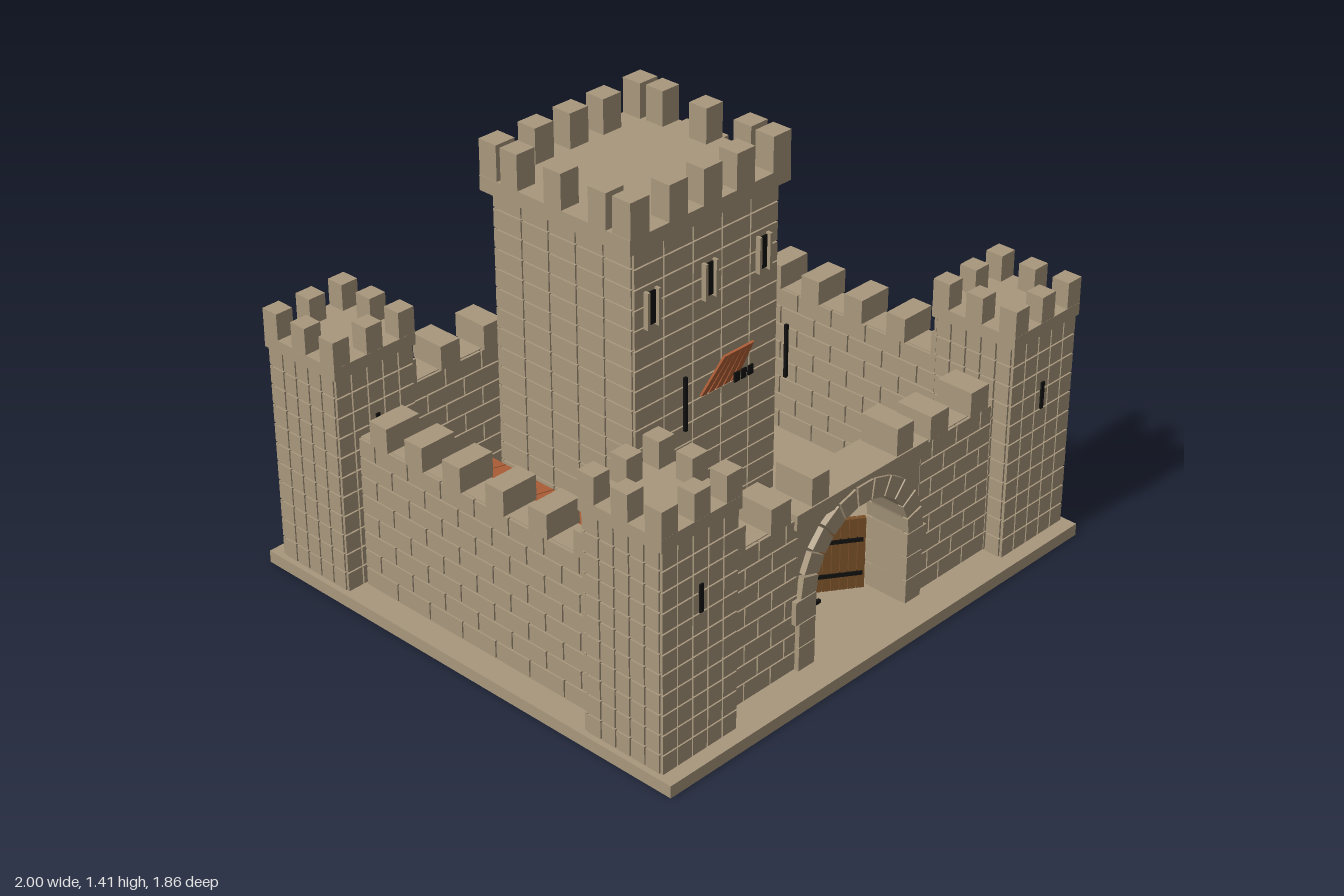
import * as THREE from 'three';
import { mergeGeometries } from 'three/addons/utils/BufferGeometryUtils.js';

const material = (name, color) => {
  const m = new THREE.MeshStandardMaterial({ color });
  m.name = name;
  return m;
};

export function createModel() {
  const stone = material('stone', 0xa8977c);
  const tile = material('roofTile', 0xb5623a);
  const wood = material('wood', 0x7a5028);
  const iron = material('iron', 0x121110);
  const castle = new THREE.Group();
  castle.name = 'castle';

  // Box given by its limits on each axis
  const box = (x0, x1, y0, y1, z0, z1) =>
    new THREE.BoxGeometry(x1 - x0, y1 - y0, z1 - z0).translate((x0 + x1) / 2, (y0 + y1) / 2, (z0 + z1) / 2);
  const cube = (x, y, z, w, h, d) => new THREE.BoxGeometry(w, h, d).translate(x, y, z);
  const add = (name, geos, mat, parent = castle) => {
    const mesh = new THREE.Mesh(mergeGeometries(geos), mat);
    mesh.name = name;
    parent.add(mesh);
    return mesh;
  };

  // Core block faced with stones on the chosen sides; bond shifts every other course
  function masonry(x0, x1, y0, y1, z0, z1, rows, nx, nz, bond, faceX = true, faceZ = true) {
    const t = 0.01, g = 0.003;
    const geos = [box(x0 + t, x1 - t, y0, y1, z0 + t, z1 - t)];
    const h = (y1 - y0) / rows;
    const course = (a, b, n, r, place) => {
      const w = (b - a) / n, shift = bond && r % 2 ? w / 2 : 0;
      for (let i = shift ? -1 : 0; i < n; i++) {
        const s = Math.max(a, a + i * w + shift), e = Math.min(b, a + (i + 1) * w + shift);
        place(s + g, e - g, y0 + r * h + g, y0 + (r + 1) * h - g);
      }
    };
    for (let r = 0; r < rows; r++) {
      if (faceZ) course(x0, x1, nx, r, (s, e, b, c) =>
        geos.push(box(s, e, b, c, z1 - t, z1), box(s, e, b, c, z0, z0 + t)));
      if (faceX) course(z0 + t, z1 - t, nz, r, (s, e, b, c) =>
        geos.push(box(x1 - t, x1, b, c, s, e), box(x0, x0 + t, b, c, s, e)));
    }
    return geos;
  }

  // Base slab
  add('base', [box(-1, 1, 0, 0.045, -0.93, 0.93)], stone);

  // Courtyard paving
  const paving = [];
  for (let i = 0; i < 9; i++)
    for (let j = 0; j < 4; j++)
      paving.push(cube(-0.53 + i * 0.127, 0.047, 0.105 + j * 0.13, 0.121, 0.008, 0.124));
  add('paving', paving, stone);

  // Corner towers
  for (const sx of [-1, 1]) for (const sz of [-1, 1]) {
    const tower = new THREE.Group();
    tower.name = (sz > 0 ? 'front' : 'back') + (sx > 0 ? 'Left' : 'Right') + 'Tower';
    castle.add(tower);
    const cx = sx * 0.817, cz = sz * 0.713;
    add('towerWalls', masonry(cx - 0.165, cx + 0.165, 0.045, 0.85, cz - 0.165, cz + 0.165, 11, 5, 5, false), stone, tower);
    const top = [cube(cx, 0.868, cz, 0.342, 0.045, 0.342)];
    for (let i = -1; i <= 1; i++)
      for (let j = -1; j <= 1; j++)
        if (i || j) top.push(cube(cx + i * 0.137, 0.935, cz + j * 0.137, 0.067, 0.1, 0.067));
    add('towerBattlements', top, stone, tower);
    add('arrowSlit', [cube(cx, 0.61, cz + 0.167, 0.015, 0.1, 0.008)], iron, tower);
  }

  // Side and back curtain walls
  for (const s of [-1, 1]) {
    const x = s * 0.843;
    add('sideWall', masonry(x - 0.065, x + 0.065, 0.045, 0.61, -0.55, 0.55, 8, 1, 7, true, true, false), stone);
    add('sideMerlons', [0.485, 0.29, 0.1, -0.095, -0.27, -0.435].map(z => cube(x, 0.655, z, 0.14, 0.09, 0.08)), stone);
  }
  add('backWall', masonry(-0.66, 0.66, 0.045, 0.61, -0.8, -0.67, 8, 8, 1, true, false), stone);
  const backMerlons = [];
  for (let i = -3; i <= 3; i++) backMerlons.push(cube(i * 0.195, 0.655, -0.735, 0.085, 0.09, 0.14));
  add('backMerlons', backMerlons, stone);

  // Front wall on both sides of the gate
  for (const s of [-1, 1]) {
    const a = s < 0 ? -0.66 : 0.29;
    add('frontWall', masonry(a, a + 0.37, 0.045, 0.61, 0.665, 0.8, 8, 3, 1, true, false), stone);
    add('frontMerlons', [0.585, 0.38].map(x => cube(s * x, 0.655, 0.733, 0.09, 0.09, 0.14)), stone);
  }

  // Gatehouse wall with arched opening
  const R = 0.225, spring = 0.315;
  const gate = new THREE.Shape();
  gate.moveTo(-0.3, 0.045);
  gate.lineTo(-R, 0.045);
  gate.lineTo(-R, spring);
  gate.absarc(0, spring, R, Math.PI, 0, true);
  gate.lineTo(R, 0.045);
  gate.lineTo(0.3, 0.045);
  gate.lineTo(0.3, 0.61);
  gate.lineTo(-0.3, 0.61);
  const gateGeo = new THREE.ExtrudeGeometry(gate, { depth: 0.13, bevelEnabled: false, curveSegments: 11 });
  add('gateWall', [gateGeo.translate(0, 0, 0.668)], stone);
  add('gateParapet', [
    box(-0.315, 0.315, 0.575, 0.63, 0.65, 0.812),
    ...[-1, 1].map(s => cube(s * 0.203, 0.68, 0.732, 0.08, 0.1, 0.15)),
  ], stone);

  // Arch stones
  const arch = [];
  const n = 11, step = Math.PI / n;
  for (let i = 0; i < n; i++) {
    const a = i * step + 0.015, b = (i + 1) * step - 0.015;
    const outer = 0.297;
    const v = new THREE.Shape([[R, a], [outer, a], [outer, b], [R, b]].map(
      ([r, t]) => new THREE.Vector2(r * Math.cos(t), r * Math.sin(t))));
    arch.push(new THREE.ExtrudeGeometry(v, { depth: 0.175, bevelEnabled: false }).translate(0, spring, 0.645));
  }
  add('archStones', arch, stone);

  // Gate pillars
  const pillars = [];
  for (const s of [-1, 1]) for (let i = 0; i < 3; i++)
    pillars.push(cube(s * (0.262 + (i === 2 ? 0.008 : 0)), 0.09 + i * 0.09, 0.732, i === 2 ? 0.095 : 0.075, 0.086, 0.172));
  add('gatePillars', pillars, stone);

  // Gate doors swung inward, with iron straps
  for (const s of [-1, 1]) {
    const door = new THREE.Group();
    door.name = s > 0 ? 'leftDoor' : 'rightDoor';
    door.position.set(s * 0.215, 0.045, 0.65);
    door.rotation.y = s > 0 ? Math.PI + 0.6 * -1 : 0.6;
    castle.add(door);
    const h = s > 0 ? 0.27 : 0.24;
    const planks = [];
    for (let i = 0; i < 6; i++) planks.push(cube(0.015 + i * 0.029, h / 2, 0, 0.026, h, 0.018));
    add('doorPlanks', planks, wood, door);
    add('doorStraps', [0.06, 0.19].map(y => cube(0.085, y, 0, 0.15, 0.015, 0.026)), iron, door);
  }
  add('doorSill', [cube(-0.02, 0.053, 0.61, 0.12, 0.012, 0.012)], iron);
  add('doorPost', [cube(0.197, 0.165, 0.61, 0.026, 0.235, 0.01)], iron);

  // Keep
  const keep = new THREE.Group();
  keep.name = 'keep';
  castle.add(keep);
  add('keepWalls', masonry(-0.22, 0.465, 0.045, 1.23, -0.62, 0.025, 16, 5, 5, false), stone, keep);
  const crown = [box(-0.255, 0.5, 1.225, 1.28, -0.64, 0.045)];
  for (const x of [-0.21, -0.035, 0.125, 0.28, 0.455])
    for (const z of [0.005, -0.6]) crown.push(cube(x, 1.345, z, 0.085, 0.13, 0.08));
  for (const z of [-0.1, -0.3, -0.5])
    for (const x of [-0.215, 0.46]) crown.push(cube(x, 1.345, z, 0.08, 0.13, 0.078));
  add('keepBattlements', crown, stone, keep);

  // Keep windows with stone frames
  for (const x of [-0.145, 0.125, 0.385]) {
    add('windowFrame', [-1, 1].map(s => cube(x + s * 0.025, 0.995, 0.033, 0.011, 0.135, 0.024)), stone, keep);
    add('windowOpening', [cube(x, 0.995, 0.027, 0.04, 0.12, 0.008)], iron, keep);
  }

  // Steps to the keep
  const steps = [];
  for (let i = 0; i < 3; i++) steps.push(box(0.022, 0.218, 0.045, 0.08 + i * 0.035, 0.03, 0.34 - i * 0.057));
  add('keepSteps', steps, stone);

  // Sloping tiled hood above the steps, with an iron grille and side rods
  const hood = new THREE.Group();
  hood.name = 'hood';
  hood.position.set(0.123, 0.79, 0.165);
  hood.rotation.x = 0.46;
  castle.add(hood);
  const slats = [];
  for (let i = -2; i <= 2; i++)
    slats.push(new THREE.BoxGeometry(0.028, 0.2, 0.008).translate(0, -0.1, 0).rotateZ(i * 0.045).translate(i * 0.028, 0, 0));
  add('hoodSlats', slats, tile, hood);
  add('hoodGrille', [-1, 0, 1].map(i => cube(0.12 + i * 0.033, 0.71, 0.19, 0.024, 0.035, 0.006)), iron);
  add('sideRods', [-0.12, 0.365].map(x => cube(x, 0.68, 0.157, 0.011, 0.2, 0.011)), iron);

  // Lean-to roof beside the keep: rows of tiles on a gentle slope
  const shed = new THREE.Group();
  shed.name = 'leanTo';
  castle.add(shed);
  const tiles = [];
  for (let r = 0; r < 8; r++) for (let c = 0; c < 6; c++)
    tiles.push(new THREE.BoxGeometry(0.062, 0.014, 0.073).rotateZ(-0.2)
      .translate(-0.665 + c * 0.06, 0.34 - c * 0.012, -0.51 + r * 0.0763));
  add('leanToTiles', tiles, tile, shed);
  const posts = [];
  for (const z of [-0.5, 0.01]) for (const x of [-0.66, -0.37])
    posts.push(box(x - 0.012, x + 0.012, 0.045, x < -0.5 ? 0.335 : 0.275, z - 0.012, z + 0.012));
  add('leanToPosts', posts, wood, shed);

  return castle;
}
